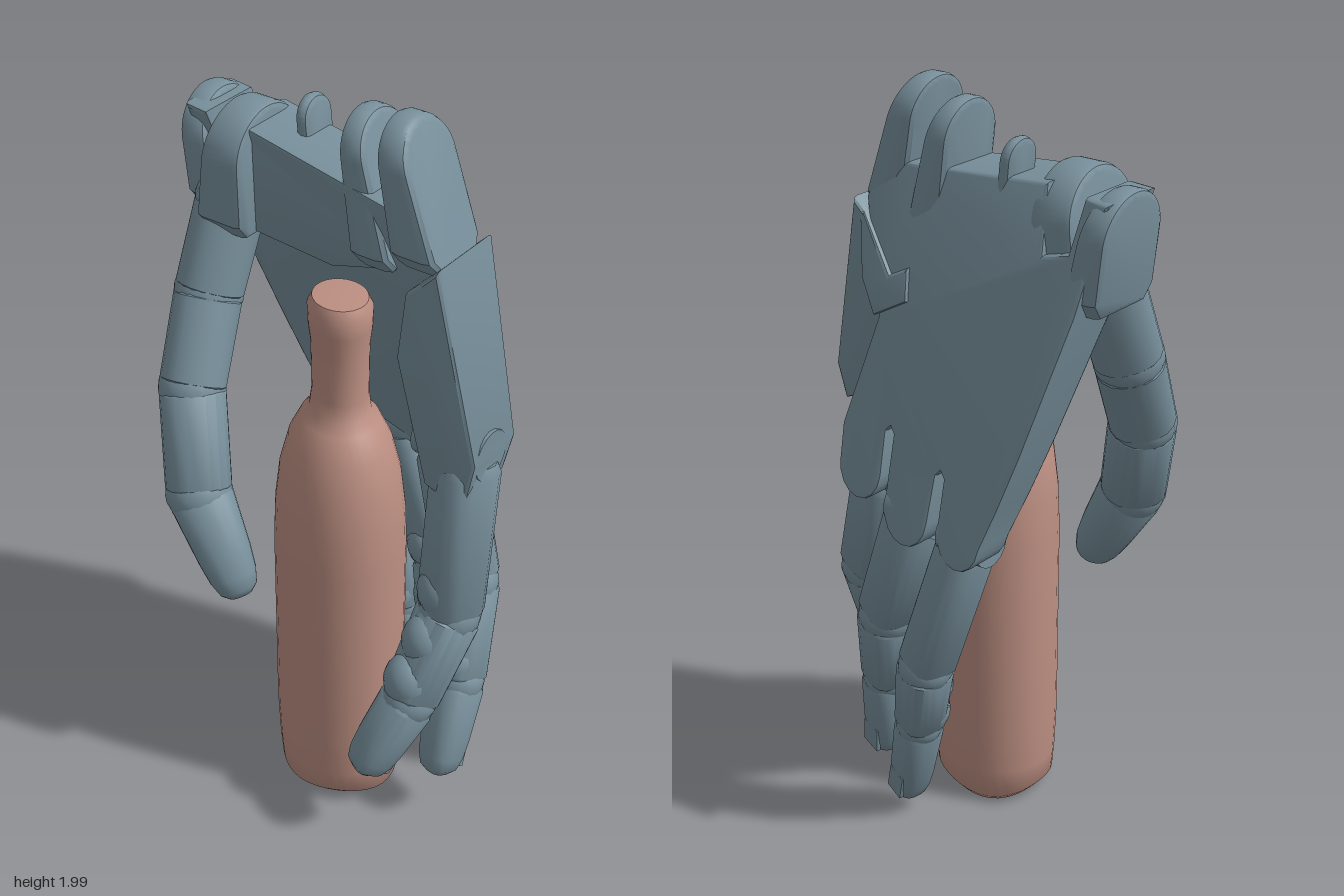
import * as THREE from 'three';
import { toCreasedNormals } from 'three/addons/utils/BufferGeometryUtils.js';

const V = (p) => new THREE.Vector3(...p);

export function createModel() {
  const root = new THREE.Group();
  const handMat = new THREE.MeshStandardMaterial({ color: 0x78909c });
  const bottleMat = new THREE.MeshStandardMaterial({ color: 0xbc8f82 });

  function add(geo, name, parent = root, mat = handMat, crease = 0.6) {
    const mesh = new THREE.Mesh(toCreasedNormals(geo, crease), mat);
    mesh.name = name;
    parent.add(mesh);
  }

  function warp(geo, rule) {
    const p = geo.attributes.position, v = new THREE.Vector3();
    for (let i = 0; i < p.count; i++) {
      rule(v.fromBufferAttribute(p, i));
      p.setXYZ(i, v.x, v.y, v.z);
    }
    geo.computeVertexNormals();
    return geo;
  }

  // Slab outlined by [z, y] points; inner and outer give its two x faces
  function sideSlab(points, inner, outer, name) {
    const shape = new THREE.Shape(points.map(([z, y]) => new THREE.Vector2(-z, y)));
    const geo = new THREE.ExtrudeGeometry(shape, {
      depth: 0.84, bevelThickness: 0.08, bevelSize: 0.01, bevelOffset: -0.01, bevelSegments: 2,
    });
    geo.translate(0, 0, 0.08).rotateY(Math.PI / 2);
    warp(geo, (v) => {
      const a = inner(v.y, v.z), b = outer(v.y, v.z);
      v.x = a + (b - a) * v.x;
    });
    add(geo, name);
  }

  // ---- Back of the hand: tilted plate with a wrist slot and three knuckles ----
  const outer = (y, z) => 0.11 + (1.85 - y) * 0.235 - z * 0.14;
  const inner = (y, z) => outer(y, z) - 0.12 - (y - 0.92) * 0.07;
  const outline = [[0.27, 1.79], [0.17, 1.8], [-0.27, 1.85], [-0.285, 1.69], [-0.36, 1.71], [-0.385, 1.84],
    [-0.46, 1.84], [-0.41, 1.58], [-0.31, 1.23], [-0.265, 1.09]];
  const knuckles = [[-0.15, 0.98, 0.075], [0.04, 0.98, 0.08], [0.225, 1.04, 0.08]];
  knuckles.forEach(([z, y, r], i) => {
    for (let k = 0; k <= 8; k++) {
      const a = Math.PI * (1 - k / 8);
      outline.push([z + r * Math.cos(a), y - r * Math.sin(a)]);
    }
    if (i < 2) {
      const top = 1.12 + i * 0.05, zs = z + r + 0.015;
      outline.push([zs - 0.014, top - 0.015], [zs, top], [zs + 0.014, top - 0.015]);
    }
  });
  outline.push([0.31, 1.13], [0.23, 1.42], [0.33, 1.69]);
  sideSlab(outline, inner, outer, 'handBackPlate');

  // ---- Index finger carrier beside the plate, with its overlapping flange ----
  sideSlab([[0.35, 1.69], [0.26, 1.6], [0.24, 1.42], [0.33, 1.09], [0.385, 1.07],
    [0.41, 1.12], [0.455, 1.1], [0.475, 1.2]],
  () => -0.1, (y) => 0.07 + Math.max(0, y - 1.1) * 0.1, 'indexCarrier');
  sideSlab([[0.34, 1.68], [0.2, 1.53], [0.14, 1.56], [0.13, 1.48], [0.24, 1.42], [0.3, 1.5]],
    () => 0.04, (y, z) => outer(y, z) + 0.012, 'carrierFlange');

  // ---- Wrist body and hinge lugs ----
  sideSlab([[0.27, 1.78], [0.24, 1.62], [0.0, 1.55], [-0.28, 1.57], [-0.285, 1.84], [-0.02, 1.82]],
    () => -0.03, (y, z) => outer(y, z) - 0.015, 'wristBody');

  // Round-topped lug facing z; it leans along z and thickens towards its foot
  function lug(name, z, x0, x1, top, bottom, thick, lean, flare) {
    const r = (x1 - x0) / 2, s = new THREE.Shape();
    s.moveTo(x0 + 0.03, bottom);
    s.lineTo(x1 - 0.03, bottom);
    s.lineTo(x1, bottom + 0.04);
    s.absarc((x0 + x1) / 2, top - r, r, 0, Math.PI, false);
    s.lineTo(x0, bottom + 0.04);
    const geo = new THREE.ExtrudeGeometry(s, {
      depth: thick - 0.03, bevelThickness: 0.015, bevelSize: 0.015,
      bevelOffset: -0.015, bevelSegments: 2, curveSegments: 14,
    });
    geo.translate(0, 0, 0.015 - thick / 2);
    add(warp(geo, (v) => {
      const d = top - v.y;
      v.z = v.z * (1 + flare * d) + z + lean * d;
    }), name);
  }
  lug('frontWristLug', 0.195, -0.105, 0.1, 2.0, 1.66, 0.065, 0.27, 3);
  lug('innerFrontLug', 0.065, -0.07, 0.13, 1.97, 1.6, 0.055, 0.2, 3);
  lug('middleWristLug', -0.14, 0.03, 0.14, 1.92, 1.7, 0.035, 0.1, 0);
  lug('thumbWristLug', -0.285, -0.09, 0.17, 1.88, 1.56, 0.1, -0.05, 1.5);
  lug('backWristLug', -0.45, -0.02, 0.21, 1.86, 1.57, 0.065, 0.17, 2);

  // ---- Limb segments: rounded-square lathed barrels ----
  function segment(parent, name, a, b, ra, rb, tip, out, square) {
    const dir = b.clone().sub(a), len = dir.length();
    dir.normalize();
    const prof = tip
      ? [[0, 0], [0.85, 0], [1, 0.08], [1, 0.6], [0.95, 0.8], [0.8, 0.93], [0.5, 0.99], [0, 1]]
      : [[0, 0], [0.85, 0], [1, 0.06], [1, 0.94], [0.85, 1], [0, 1]];
    const geo = new THREE.LatheGeometry(
      prof.map(([r, t]) => new THREE.Vector2(r * (ra + (rb - ra) * t), t * len)), 20);
    warp(geo, (v) => {
      const r = Math.hypot(v.x, v.z);
      if (r < 1e-6) return;
      const k = (Math.abs(v.x / r) ** square + Math.abs(v.z / r) ** square) ** (-1 / square);
      v.x *= k; v.z *= k;
    });
    const xAxis = out.clone().addScaledVector(dir, -out.dot(dir)).normalize();
    const basis = new THREE.Matrix4().makeBasis(xAxis, dir, xAxis.clone().cross(dir));
    add(geo.applyMatrix4(basis.setPosition(a)), name, parent, handMat, 0.7);
    return xAxis;
  }

  function ball(parent, name, c, r, stretch = 1) {
    const geo = new THREE.SphereGeometry(r, 18, 12);
    add(geo.scale(1, stretch, 1).translate(c.x, c.y, c.z), name, parent, handMat, 1);
  }

  // ---- Fingers: joint positions from knuckle to tip, and overall thickness ----
  const fingers = {
    indexFinger: [[[-0.02, 1.2, 0.405], [-0.065, 0.7, 0.4], [-0.185, 0.47, 0.365], [-0.295, 0.26, 0.295]], 1.03],
    middleFinger: [[[0.18, 1.03, 0.21], [0.11, 0.66, 0.345], [0, 0.42, 0.395], [-0.11, 0.17, 0.41]], 1],
    ringFinger: [[[0.24, 0.98, 0.05], [0.205, 0.6, 0.2], [0.135, 0.35, 0.27], [0.09, 0.08, 0.32]], 0.98],
    littleFinger: [[[0.27, 0.97, -0.14], [0.285, 0.55, -0.0], [0.25, 0.34, 0.055], [0.205, 0.06, 0.14]], 0.9],
  };
  const radii = [0.076, 0.076, 0.067, 0.055];
  for (const [name, [joints, size]] of Object.entries(fingers)) {
    const g = new THREE.Group();
    g.name = name;
    root.add(g);
    const p = joints.map(V), r = radii.map((q) => q * size);
    const out = new THREE.Vector3(1, 0, name === 'indexFinger' ? 0.5 : 0.25);
    // Hinge across the knuckle
    const hinge = new THREE.CylinderGeometry(0.065 * size, 0.065 * size, 0.13, 18);
    hinge.rotateX(Math.PI / 2).translate(p[0].x, p[0].y - 0.01, p[0].z);
    add(hinge, 'knuckleHinge', g);
    for (let i = 0; i < 3; i++) {
      const start = i ? p[i] : p[0].clone().lerp(p[1], 0.08);
      const ax = segment(g, ['lower', 'middle', 'tip'][i] + 'Segment', start, p[i + 1], r[i], r[i + 1], i === 2, out, 3);
      if (i) ball(g, 'joint', p[i], r[i] * 1.05);
      // Padding on the palm side
      for (const t of i === 0 ? [0.85] : i === 1 ? [0.35, 0.8] : []) {
        const c = p[i].clone().lerp(p[i + 1], t).addScaledVector(ax, -r[i] * 0.32);
        ball(g, 'palmPad', c, r[i] * 0.88, 1.15);
      }
      // Nail on the outer face of the tip
      if (i === 2) {
        const dir = p[3].clone().sub(p[2]).normalize();
        const nail = new THREE.BoxGeometry(0.012, 0.08, 0.065 * size);
        const m = new THREE.Matrix4().makeBasis(ax, dir, ax.clone().cross(dir));
        m.setPosition(p[2].clone().lerp(p[3], 0.76).addScaledVector(ax, r[3] * 0.95));
        add(nail.applyMatrix4(m), 'nail', g);
      }
    }
  }

  // ---- Thumb curling round behind the bottle ----
  const thumb = new THREE.Group();
  thumb.name = 'thumb';
  root.add(thumb);
  const tp = [[0.02, 1.6, -0.345], [-0.075, 1.38, -0.35], [-0.19, 1.165, -0.32],
    [-0.275, 0.92, -0.24], [-0.3, 0.665, -0.09]].map(V);
  const tr = [0.09, 0.088, 0.086, 0.086, 0.062];
  for (let i = 0; i < 4; i++) {
    segment(thumb, 'thumbSegment', tp[i], tp[i + 1], tr[i], tr[i + 1], i === 3, new THREE.Vector3(-1, 0, -1), 2.3);
    ball(thumb, 'thumbJoint', tp[i], tr[i] * 1.02);
  }

  // ---- Bottle: slightly oval across one diagonal, with an uneven base ----
  const ring = [[0, 0.04], [0.1, 0.03], [0.14, 0.022], [0.16, 0.045], [0.166, 0.12], [0.171, 0.25],
    [0.171, 0.8], [0.166, 0.92], [0.153, 1.03], [0.13, 1.12], [0.099, 1.185], [0.077, 1.21],
    [0.071, 1.26], [0.072, 1.4], [0.078, 1.45], [0.08, 1.5], [0.068, 1.525], [0, 1.53]];
  const bottle = new THREE.LatheGeometry(ring.map(([r, y]) => new THREE.Vector2(r, y)), 36);
  warp(bottle, (v) => {
    if (v.y < 0.1) v.y += 0.01 * Math.sin(3 * Math.atan2(v.z, v.x)) * Math.hypot(v.x, v.z) / 0.17;
    const wide = (v.z - v.x) * 0.05, narrow = (v.z + v.x) * 0.02;
    v.x += -wide - narrow - 0.086;
    v.z = (v.z + wide - narrow) * 1.06 + 0.07;
  });
  add(bottle, 'bottle', root, bottleMat, 0.9);

  return root;
}
